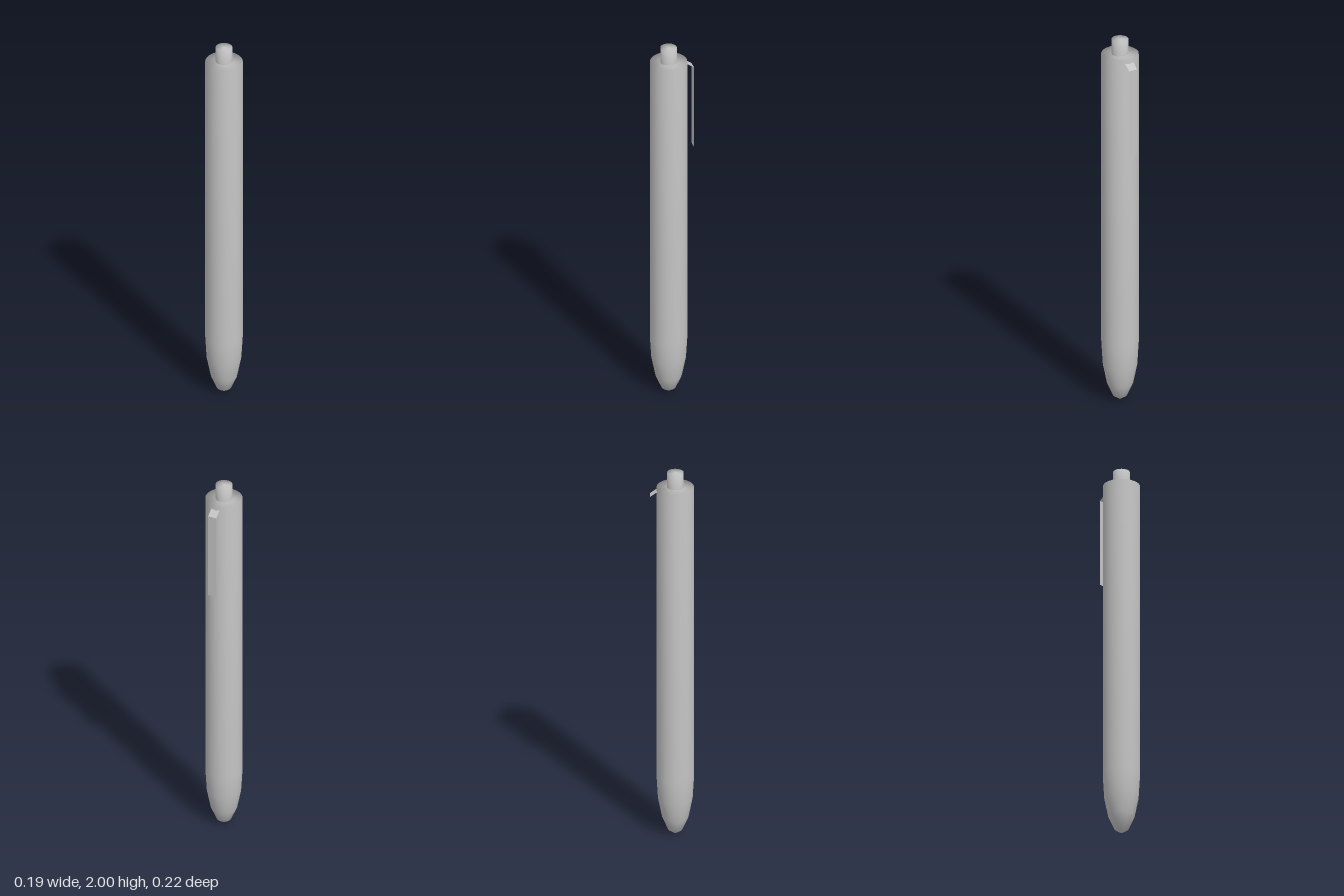
import * as THREE from 'three';

const grey = new THREE.MeshStandardMaterial({ color: 0xc4c4c4 });
grey.name = 'grey';
const greyClip = grey.clone();
greyClip.name = 'grey open sheet';
greyClip.side = THREE.DoubleSide;

const AXIS_Z = 0.0155; // barrel axis, set forward to balance the clip
const R = 0.0945;
const TIP = 0.32;
const SHOULDER = 1.92;

function turned(name, profile, sides) {
  const points = profile.map(([r, y]) => new THREE.Vector2(r, y));
  const mesh = new THREE.Mesh(new THREE.LatheGeometry(points, sides), grey);
  mesh.name = name;
  mesh.position.z = AXIS_Z;
  return mesh;
}

// Folded sheet: a strip bent along a side profile of [y, z] points
function foldedStrip(name, width, path) {
  const strip = new THREE.PlaneGeometry(width, 1, 1, path.length - 1);
  const pos = strip.attributes.position;
  for (let i = 0; i < pos.count; i++) {
    const [y, z] = path[Math.floor(i / 2)];
    pos.setXYZ(i, -pos.getX(i), y, z);
  }
  const geometry = strip.toNonIndexed();
  geometry.computeVertexNormals();
  const mesh = new THREE.Mesh(geometry, greyClip);
  mesh.name = name;
  return mesh;
}

export function createModel() {
  const pen = new THREE.Group();
  pen.name = 'pen';

  // Barrel: elliptical tip, straight wall, flat shoulder
  const barrel = [];
  for (let i = 0; i <= 4; i++) {
    const a = (i / 4) * Math.PI / 2;
    barrel.push([R * Math.sin(a), TIP * (1 - Math.cos(a))]);
  }
  barrel.push([R, SHOULDER], [0, SHOULDER]);
  pen.add(turned('barrel', barrel, 20));

  // Push button
  pen.add(turned('pushButton', [[0.042, SHOULDER - 0.02], [0.042, 2], [0, 2]], 32));

  // Pocket clip: sloped top and long outer face
  pen.add(foldedStrip('pocketClip', 0.046, [[1.905, -0.07], [1.875, -0.112], [1.41, -0.112]]));

  return pen;
}
